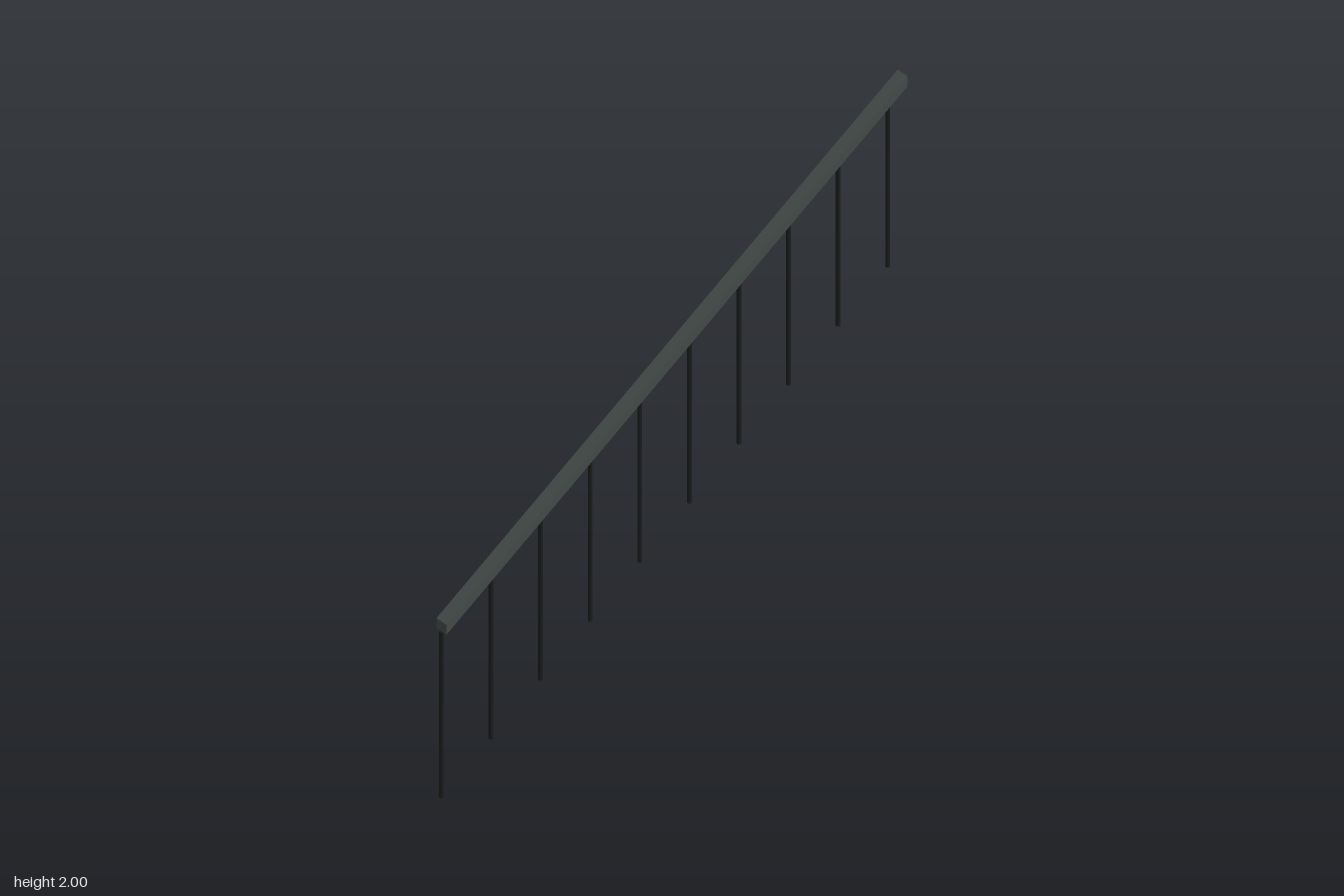
import * as THREE from 'three';

const FRONT_Z = 0.973, BACK_Z = -0.98; // rail ends
const LOW_Y = 0.66, HIGH_Y = 1.96; // underside of the rail at its ends
const RAIL_HEIGHT = 0.04, RAIL_WIDTH = 0.05;
const POSTS = 10, POST_STEP = 0.21, POST_RADIUS = 0.008;

export function createModel() {
  const model = new THREE.Group();
  model.name = 'stairHandrail';

  const railMaterial = new THREE.MeshStandardMaterial({ color: 0x434b48 });
  railMaterial.name = 'greyGreenRail';
  const postMaterial = new THREE.MeshStandardMaterial({ color: 0x1a1b1b });
  postMaterial.name = 'blackMetal';

  // Sloping rail with vertical ends: a box sheared along its length
  const railGeometry = new THREE.BoxGeometry(RAIL_WIDTH, RAIL_HEIGHT, FRONT_Z - BACK_Z);
  const slope = (HIGH_Y - LOW_Y) / (FRONT_Z - BACK_Z);
  railGeometry.applyMatrix4(new THREE.Matrix4().set(
    1, 0, 0, 0,
    0, 1, -slope, (LOW_Y + HIGH_Y + RAIL_HEIGHT) / 2,
    0, 0, 1, (FRONT_Z + BACK_Z) / 2,
    0, 0, 0, 1,
  ));
  railGeometry.computeVertexNormals();
  const rail = new THREE.Mesh(railGeometry, railMaterial);
  rail.name = 'handrail';
  model.add(rail);

  // Equal upright posts, each one step higher than the last
  const postGeometry = new THREE.CylinderGeometry(POST_RADIUS, POST_RADIUS, LOW_Y, 12);
  postGeometry.translate(0, LOW_Y / 2, 0);
  for (let i = 0; i < POSTS; i++) {
    const post = new THREE.Mesh(postGeometry, postMaterial);
    post.name = `post${i + 1}`;
    post.position.set(0, i * POST_STEP * slope, FRONT_Z - i * POST_STEP);
    model.add(post);
  }
  return model;
}
